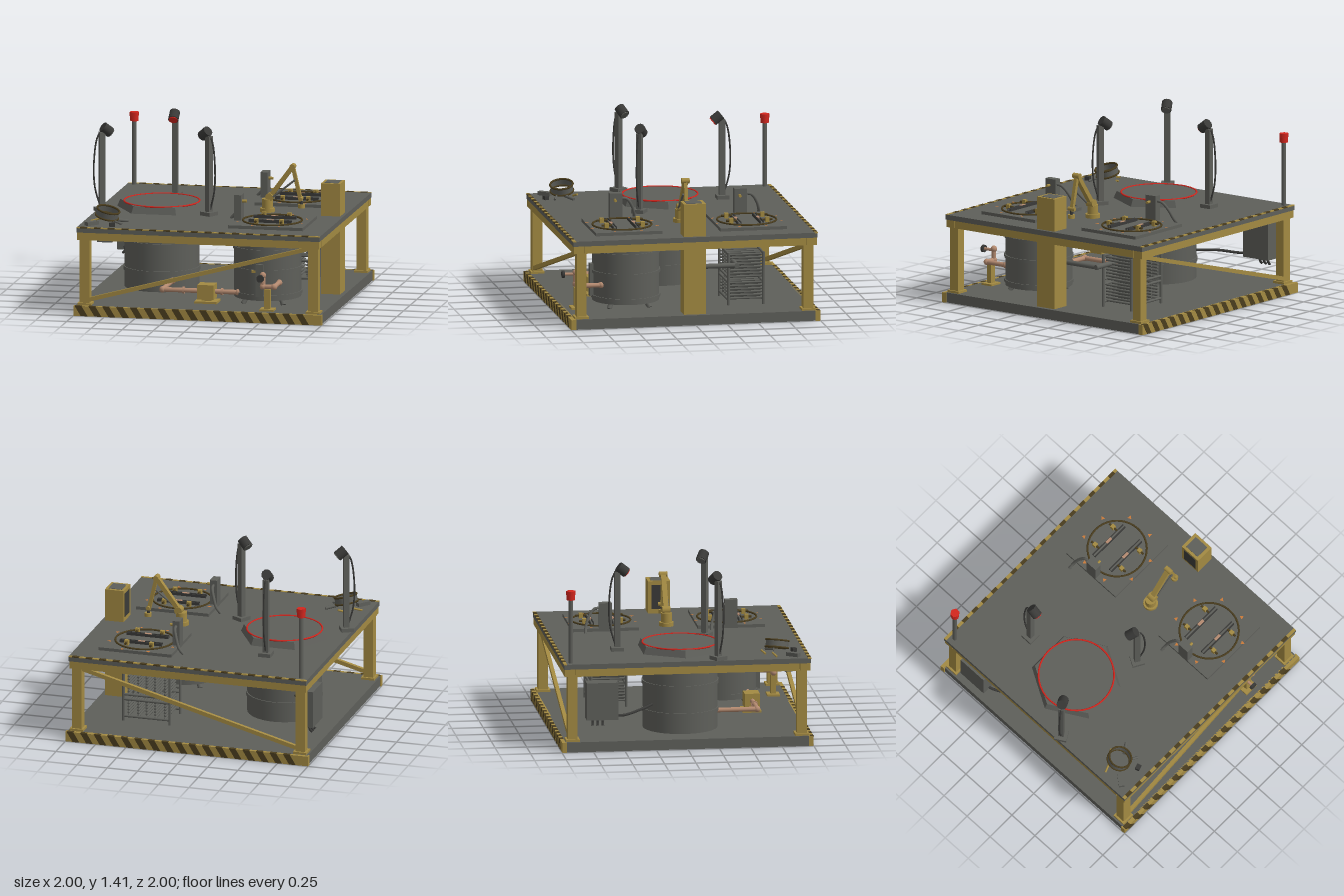
import * as THREE from 'three';

const mat = (name, color, side = THREE.FrontSide) => {
  const m = new THREE.MeshStandardMaterial({ color, side });
  m.name = name;
  return m;
};
const V = (x, y, z) => new THREE.Vector3(x, y, z);

export function createModel() {
  const root = new THREE.Group();
  root.name = 'processingPlatform';
  const grey = mat('steelGrey', 0x5e5f5a, THREE.DoubleSide);
  const dark = mat('darkGrey', 0x3a3a38);
  const yellow = mat('mustardYellow', 0xa38a42);
  const stripe = mat('stripeBrown', 0x4a3d1e);
  const red = mat('signalRed', 0xd4261e);
  const copper = mat('copper', 0xb48a70);
  const orange = mat('markerOrange', 0xc87a3a);

  const add = (name, geo, m, x = 0, y = 0, z = 0, parent = root) => {
    const mesh = new THREE.Mesh(geo, m);
    mesh.name = name;
    mesh.position.set(x, y, z);
    parent.add(mesh);
    return mesh;
  };
  // Box given by its extents on each axis
  const box = (name, m, x0, x1, y0, y1, z0, z1, parent) =>
    add(name, new THREE.BoxGeometry(x1 - x0, y1 - y0, z1 - z0), m, (x0 + x1) / 2, (y0 + y1) / 2, (z0 + z1) / 2, parent);
  const cyl = (name, m, r, y0, y1, x, z, parent, sides = 32) =>
    add(name, new THREE.CylinderGeometry(r, r, y1 - y0, sides), m, x, (y0 + y1) / 2, z, parent);
  // Round rod, or square bar when given a depth, between two points
  const rod = (name, m, a, b, r, parent, depth) => {
    const len = a.distanceTo(b);
    const geo = depth ? new THREE.BoxGeometry(r * 2, len, depth) : new THREE.CylinderGeometry(r, r, len, 12);
    const mesh = add(name, geo, m, 0, 0, 0, parent);
    mesh.position.copy(a).lerp(b, 0.5);
    mesh.quaternion.setFromUnitVectors(V(0, 1, 0), b.clone().sub(a).normalize());
    return mesh;
  };
  const tube = (name, m, pts, r, parent) =>
    add(name, new THREE.TubeGeometry(new THREE.CatmullRomCurve3(pts), 20, r, 8), m, 0, 0, 0, parent);
  const ring = (name, m, R, r, x, y, z, parent) => {
    const t = add(name, new THREE.TorusGeometry(R, r, 6, 40), m, x, y, z, parent);
    t.rotation.x = Math.PI / 2;
    return t;
  };

  // Base slab with hazard stripes front and back
  box('baseSlab', grey, -0.99, 0.99, 0, 0.08, -0.97, 0.97);
  const slant = new THREE.Shape([[0, 0.081], [0.055, 0.081], [0.105, 0], [0.05, 0]].map(p => new THREE.Vector2(...p)));
  const slantGeo = new THREE.ExtrudeGeometry(slant, { depth: 0.03, bevelEnabled: false });
  for (const s of [1, -1]) {
    const kerb = new THREE.Group();
    kerb.name = s > 0 ? 'frontKerb' : 'backKerb';
    kerb.rotation.y = s > 0 ? 0 : Math.PI;
    root.add(kerb);
    box('kerbBar', yellow, -1, 1, 0, 0.08, 0.96, 0.998, kerb);
    for (let i = 0; i < 17; i++) add('kerbStripe', slantGeo, stripe, -0.99 + i * 0.1115, 0, 0.97, kerb);
    // Striped edge along the deck
    box('deckEdge', yellow, -0.98, 0.98, 0.7, 0.707, 0.957, 0.982, kerb);
    for (let i = 0; i < 17; i++) box('deckEdgeStripe', stripe, -0.95 + i * 0.1115, -0.895 + i * 0.1115, 0.7, 0.709, 0.956, 0.983, kerb);
  }

  // Deck and yellow frame
  box('deck', grey, -0.98, 0.98, 0.665, 0.705, -0.98, 0.98);
  for (const s of [-1, 1]) {
    box('frameBeamX', yellow, -0.975, 0.975, 0.605, 0.665, s * 0.935 - 0.04, s * 0.935 + 0.04);
    box('frameBeamZ', yellow, s * 0.935 - 0.04, s * 0.935 + 0.04, 0.605, 0.665, -0.89, 0.89);
    rod('diagonalBrace', yellow, V(-0.9, 0.12, s * 0.93), V(0.89, 0.6, s * 0.93), 0.016, root, 0.03);
    for (const t of [-1, 1]) {
      box('cornerPost', yellow, s * 0.92 - 0.039, s * 0.92 + 0.039, 0.08, 0.61, t * 0.91 - 0.039, t * 0.91 + 0.039);
      box('postFoot', yellow, s * 0.92 - 0.055, s * 0.92 + 0.055, 0.08, 0.098, t * 0.91 - 0.055, t * 0.91 + 0.055);
    }
  }
  box('middleBeam', yellow, -0.06, 0.02, 0.605, 0.665, -0.9, 0.9);

  // Large tank with hexagonal lid
  cyl('largeTank', grey, 0.295, 0.08, 0.665, -0.5, 0, root, 40);
  for (const y of [0.23, 0.45, 0.57]) cyl('tankBand', grey, 0.304, y - 0.015, y + 0.015, -0.5, 0, root, 40);
  const hex = new THREE.CylinderGeometry(0.335, 0.36, 0.057, 6, 1, false, Math.PI / 6).toNonIndexed();
  hex.computeVertexNormals();
  add('hexagonLid', hex, grey, -0.5, 0.733, 0);
  ring('lidSeal', red, 0.298, 0.007, -0.5, 0.762, 0);

  // Small tank on splayed feet
  cyl('smallTank', grey, 0.265, 0.125, 0.6, 0.45, 0.46);
  for (const y of [0.16, 0.36, 0.52]) cyl('smallTankBand', grey, 0.274, y - 0.012, y + 0.012, 0.45, 0.46);
  for (let i = 0; i < 4; i++) {
    const a = Math.PI / 4 + i * Math.PI / 2, c = Math.cos(a), s = Math.sin(a);
    rod('tankFoot', grey, V(0.45 + c * 0.19, 0.14, 0.46 + s * 0.19), V(0.45 + c * 0.23, 0.08, 0.46 + s * 0.23), 0.02);
  }
  box('levelGauge', grey, 0.415, 0.475, 0.16, 0.42, 0.7, 0.75);
  box('gaugeTab', yellow, 0.38, 0.412, 0.35, 0.37, 0.7, 0.735);

  // Cooling rack
  for (const x of [0.26, 0.64]) for (const z of [-0.33, -0.61]) rod('rackLeg', grey, V(x, 0.08, z), V(x, 0.5, z), 0.011);
  for (const x of [0.3, 0.38, 0.45, 0.52, 0.6])
    for (let i = 0; i < 15; i++) {
      if (i !== 6) rod('rackPipe', grey, V(x, 0.125 + i * 0.025, -0.33), V(x, 0.125 + i * 0.025, -0.61), 0.009);
    }
  for (const y of [0.12, 0.26, 0.3, 0.49]) for (const z of [-0.33, -0.61]) rod('rackRail', grey, V(0.26, y, z), V(0.64, y, z), 0.01);
  rod('rackSupply', grey, V(0.77, 0.425, -0.06), V(0.77, 0.425, -0.38), 0.02);
  rod('rackSupplyElbow', grey, V(0.79, 0.425, -0.37), V(0.55, 0.425, -0.37), 0.02);

  // Pump and copper pipework
  box('pumpPlate', yellow, -0.09, 0.09, 0.08, 0.097, 0.55, 0.7);
  box('pumpBody', yellow, -0.068, 0.065, 0.112, 0.228, 0.57, 0.69);
  box('pumpPedestal', yellow, -0.04, 0.04, 0.09, 0.12, 0.6, 0.66);
  const pipe = pts => {
    for (let i = 1; i < pts.length; i++) rod('copperPipe', copper, pts[i - 1], pts[i], 0.019);
    for (const p of pts) add('pipeElbow', new THREE.SphereGeometry(0.026, 12, 8), copper, p.x, p.y, p.z);
  };
  pipe([V(-0.36, 0.17, 0.26), V(-0.36, 0.17, 0.63), V(0.25, 0.17, 0.63)]);
  pipe([V(0.59, 0.27, 0.68), V(0.59, 0.27, 0.87), V(0.5, 0.27, 0.87), V(0.5, 0.36, 0.87)]);
  for (const x of [-0.19, 0.12]) rod('pipeFlange', copper, V(x - 0.008, 0.17, 0.63), V(x + 0.008, 0.17, 0.63), 0.028);
  rod('valveStem', copper, V(0.5, 0.35, 0.87), V(0.5, 0.35, 0.96), 0.012);
  rod('valveWheel', dark, V(0.5, 0.35, 0.96), V(0.5, 0.35, 0.98), 0.03);
  box('pipeStand', yellow, 0.512, 0.56, 0.08, 0.25, 0.85, 0.89);
  box('pipeStandFoot', yellow, 0.48, 0.595, 0.08, 0.095, 0.82, 0.92);

  // Electrical cabinet with cables
  box('cabinet', grey, -0.98, -0.87, 0.25, 0.55, -0.8, -0.55);
  for (const z of [-0.75, -0.71, -0.67]) tube('cabinetCable', dark, [V(-0.93, 0.26, z), V(-0.94, 0.22, z), V(-0.96, 0.2, z)], 0.01);
  tube('tankCable', dark, [V(-0.93, 0.28, -0.62), V(-0.9, 0.27, -0.5), V(-0.8, 0.29, -0.35), V(-0.66, 0.3, -0.24)], 0.011);

  // Square duct column
  box('ductColumn', yellow, 0.8, 0.955, 0.08, 0.965, -0.088, 0.088);
  box('ductTopPanel', grey, 0.822, 0.933, 0.96, 0.968, -0.062, 0.062);
  box('ductSidePanel', dark, 0.797, 0.805, 0.74, 0.935, -0.062, 0.062);

  // Three lamps facing the large tank
  for (const a of [Math.PI / 6, Math.PI * 5 / 6, -Math.PI / 2]) {
    const lamp = new THREE.Group();
    lamp.name = 'floodLamp';
    lamp.position.set(-0.5, 0, 0);
    lamp.rotation.y = -a;
    root.add(lamp);
    box('lampFoot', grey, 0.45, 0.55, 0.705, 0.735, -0.05, 0.05, lamp);
    box('lampPost', grey, 0.475, 0.52, 0.73, 1.34, -0.022, 0.022, lamp);
    rod('lampNeck', grey, V(0.5, 1.32, 0), V(0.465, 1.365, 0), 0.02, lamp);
    rod('lampHead', dark, V(0.49, 1.38, 0), V(0.425, 1.33, 0), 0.042, lamp);
    rod('lampGlass', a < 0 ? red : grey, V(0.425, 1.33, 0), V(0.42, 1.326, 0), 0.036, lamp);
    tube('lampCable', dark, [V(0.48, 1.37, 0), V(0.53, 1.31, 0), V(0.563, 1.1, 0), V(0.555, 0.9, 0), V(0.51, 0.74, 0)], 0.007, lamp);
  }

  // Beacon
  cyl('beaconPole', grey, 0.018, 0.7, 1.22, -0.92, -0.92, root, 12);
  cyl('beaconLight', red, 0.034, 1.215, 1.285, -0.92, -0.92, root, 8);
  cyl('beaconCollar', red, 0.038, 1.255, 1.287, -0.92, -0.92, root, 6);

  // Two hatches with clamps, markers and consoles
  const tri = new THREE.CircleGeometry(0.019, 3).rotateX(-Math.PI / 2);
  for (const cz of [-0.503, 0.497]) {
    const h = new THREE.Group();
    h.name = 'hatch';
    h.position.set(0.497, 0, cz);
    root.add(h);
    box('hatchPlate', grey, -0.3, 0.3, 0.7, 0.73, -0.267, 0.267, h);
    ring('hatchRing', stripe, 0.234, 0.008, 0, 0.735, 0, h);
    for (let i = 0; i < 8; i++) {
      const a = Math.PI / 8 + i * Math.PI / 4;
      add('marker', tri, orange, Math.cos(a) * 0.28, 0.733, Math.sin(a) * 0.28, h).rotation.y = -a;
    }
    for (const s of [-1, 1]) {
      for (const d of [0.078, 0.102]) box('clampRail', dark, -0.17, 0.175, 0.73, 0.752, s * d - 0.004, s * d + 0.004, h);
      box('clampBed', grey, -0.17, 0.175, 0.73, 0.742, s * 0.09 - 0.01, s * 0.09 + 0.01, h);
      box('clampTag', copper, -0.028, 0.028, 0.742, 0.754, s * 0.09 - 0.012, s * 0.09 + 0.012, h);
      for (const x of [-0.1, 0.105]) {
        rod('clampScrew', stripe, V(x, 0.75, s * 0.1), V(x, 0.75, s * 0.185), 0.009, h);
        box('clampNut', yellow, x - 0.016, x + 0.016, 0.73, 0.77, s * 0.145 - 0.016, s * 0.145 + 0.016, h);
      }
    }
    box('console', grey, -0.3, -0.242, 0.705, 0.932, -0.05, 0.05, h);
    rod('consoleKnob', yellow, V(-0.245, 0.88, 0.01), V(-0.205, 0.88, 0.01), 0.011, h);
    tube('consoleCable', grey, [V(-0.27, 0.89, -0.04), V(-0.275, 0.88, -0.09), V(-0.3, 0.82, -0.135), V(-0.33, 0.75, -0.16), V(-0.37, 0.705, -0.167)], 0.012, h);
  }

  // Jointed arm
  cyl('armBase', yellow, 0.058, 0.705, 0.735, 0.35, 0);
  cyl('armTurret', yellow, 0.043, 0.735, 0.81, 0.35, 0);
  const joint = (x, y, r) => rod('armJoint', yellow, V(x, y, -0.032), V(x, y, 0.032), r);
  joint(0.37, 0.825, 0.032);
  joint(0.555, 1.075, 0.022);
  joint(0.62, 0.82, 0.016);
  rod('lowerArm', yellow, V(0.37, 0.825, 0), V(0.555, 1.075, 0), 0.018, root, 0.04);
  rod('upperArm', yellow, V(0.555, 1.075, 0), V(0.62, 0.8, 0), 0.014, root, 0.028);
  rod('armPiston', grey, V(0.4, 0.83, 0.025), V(0.575, 0.97, 0.02), 0.008);
  rod('gripperWrist', dark, V(0.62, 0.81, 0), V(0.625, 0.76, 0), 0.013);
  cyl('gripper', yellow, 0.028, 0.745, 0.775, 0.625, 0, root, 12);

  // Tilted drum ring and loose tools
  const drum = new THREE.Group();
  drum.name = 'drumRing';
  drum.position.set(-0.78, 0.785, 0.735);
  drum.rotation.set(0.12, 0, -0.25);
  root.add(drum);
  add('drumWall', new THREE.CylinderGeometry(0.09, 0.09, 0.055, 24, 1, true), grey, 0, 0, 0, drum);
  for (const y of [-0.028, 0.028]) ring('drumRim', stripe, 0.09, 0.008, 0, y, 0, drum);
  const tool = (name, m, w, h, d, x, z, turn) => { add(name, new THREE.BoxGeometry(w, h, d), m, x, 0.705 + h / 2, z).rotation.y = turn; };
  tool('toolCase', grey, 0.11, 0.03, 0.045, -0.885, 0.85, 0.9);
  tool('smallBlock', dark, 0.045, 0.03, 0.035, -0.715, 0.875, 0.3);
  rod('looseBar', yellow, V(-0.92, 0.712, 0.715), V(-0.85, 0.73, 0.69), 0.008);
  rod('looseBar', yellow, V(-0.8, 0.712, 0.64), V(-0.75, 0.73, 0.615), 0.008);
  rod('looseRod', grey, V(-0.71, 0.73, 0.72), V(-0.63, 0.715, 0.665), 0.013);
  rod('looseRod', grey, V(-0.71, 0.73, 0.79), V(-0.65, 0.715, 0.815), 0.009);
  box('drumDrain', grey, -0.84, -0.72, 0.57, 0.67, 0.79, 0.85);
  return root;
}
